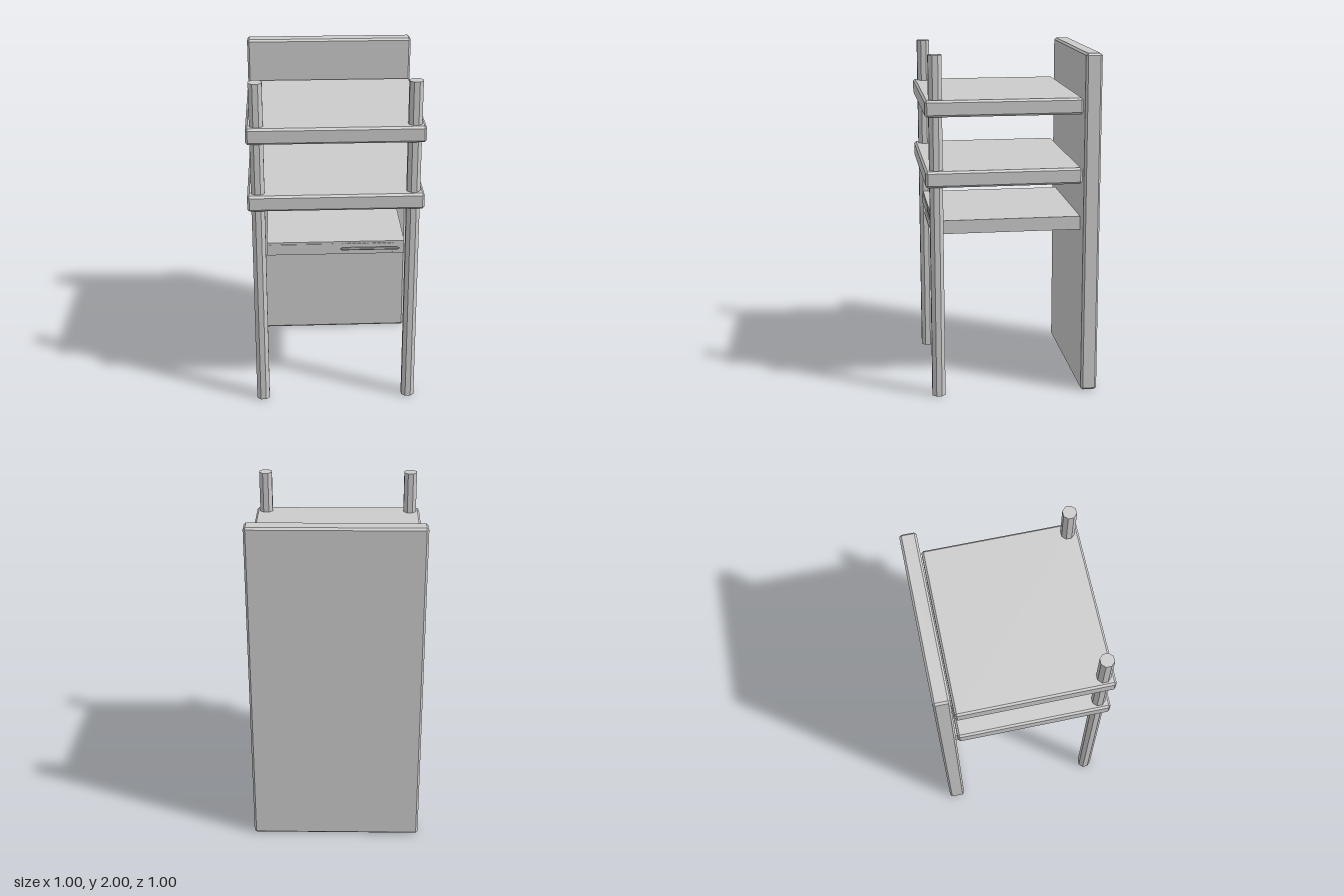
import * as THREE from 'three';
import { ConvexGeometry } from 'three/addons/geometries/ConvexGeometry.js';

const material = new THREE.MeshStandardMaterial({ color: 0xcccccc, flatShading: true });

// Box whose twelve edges are cut by a flat chamfer c
function chamferedBox(w, h, d, c) {
  const half = [w / 2, h / 2, d / 2];
  const points = [];
  for (const sx of [-1, 1]) for (const sy of [-1, 1]) for (const sz of [-1, 1]) {
    for (let axis = 0; axis < 3; axis++) {
      const p = half.map((v, i) => (i === axis ? v : v - c));
      points.push(new THREE.Vector3(p[0] * sx, p[1] * sy, p[2] * sz));
    }
  }
  return new ConvexGeometry(points);
}

function add(parent, name, geometry, x, y, z) {
  const mesh = new THREE.Mesh(geometry, material);
  mesh.name = name;
  mesh.position.set(x, y, z);
  parent.add(mesh);
  return mesh;
}

export function createModel() {
  const model = new THREE.Group();
  model.name = 'shelfRack';

  // Back panel, full height
  add(model, 'backPanel', chamferedBox(1, 2, 0.095, 0.012), 0, 1, -0.4525);

  // Two upper shelves
  for (const [name, y] of [['upperShelf', 1.705], ['middleShelf', 1.305]]) {
    add(model, name, chamferedBox(1, 0.094, 0.895, 0.012), 0, y, 0.0525);
  }

  // Octagonal front posts running through the shelves
  const post = new THREE.CylinderGeometry(0.041, 0.041, 2, 8).rotateY(Math.PI / 8);
  for (const side of [-1, 1]) {
    add(model, side > 0 ? 'leftPost' : 'rightPost', post, side * 0.44, 1, 0.438);
  }

  // Slim unit fixed to the back panel
  const unit = new THREE.Group();
  unit.name = 'rackUnit';
  unit.position.set(0, 1.004, 0);
  model.add(unit);
  const front = 0.455;
  add(unit, 'unitBody', new THREE.BoxGeometry(0.79, 0.079, 0.865), 0, 0, front - 0.4325);
  add(unit, 'displayPanel', new THREE.BoxGeometry(0.365, 0.058, 0.008), -0.2, -0.002, front);

  // Two rows of small buttons
  const button = new THREE.BoxGeometry(0.02, 0.017, 0.012);
  for (const y of [0.02, -0.022]) {
    for (let i = 0; i < 11; i++) add(unit, 'button', button, 0.049 + i * 0.0288, y, front);
  }

  // Round bar with tapered ends between the rows
  const profile = [[0, -0.172], [0.009, -0.158], [0.009, 0.158], [0, 0.172]]
    .map(([r, y]) => new THREE.Vector2(r, y));
  const bar = new THREE.LatheGeometry(profile, 8).rotateZ(Math.PI / 2);
  add(unit, 'handleBar', bar, 0.195, 0, front + 0.015);

  return model;
}
